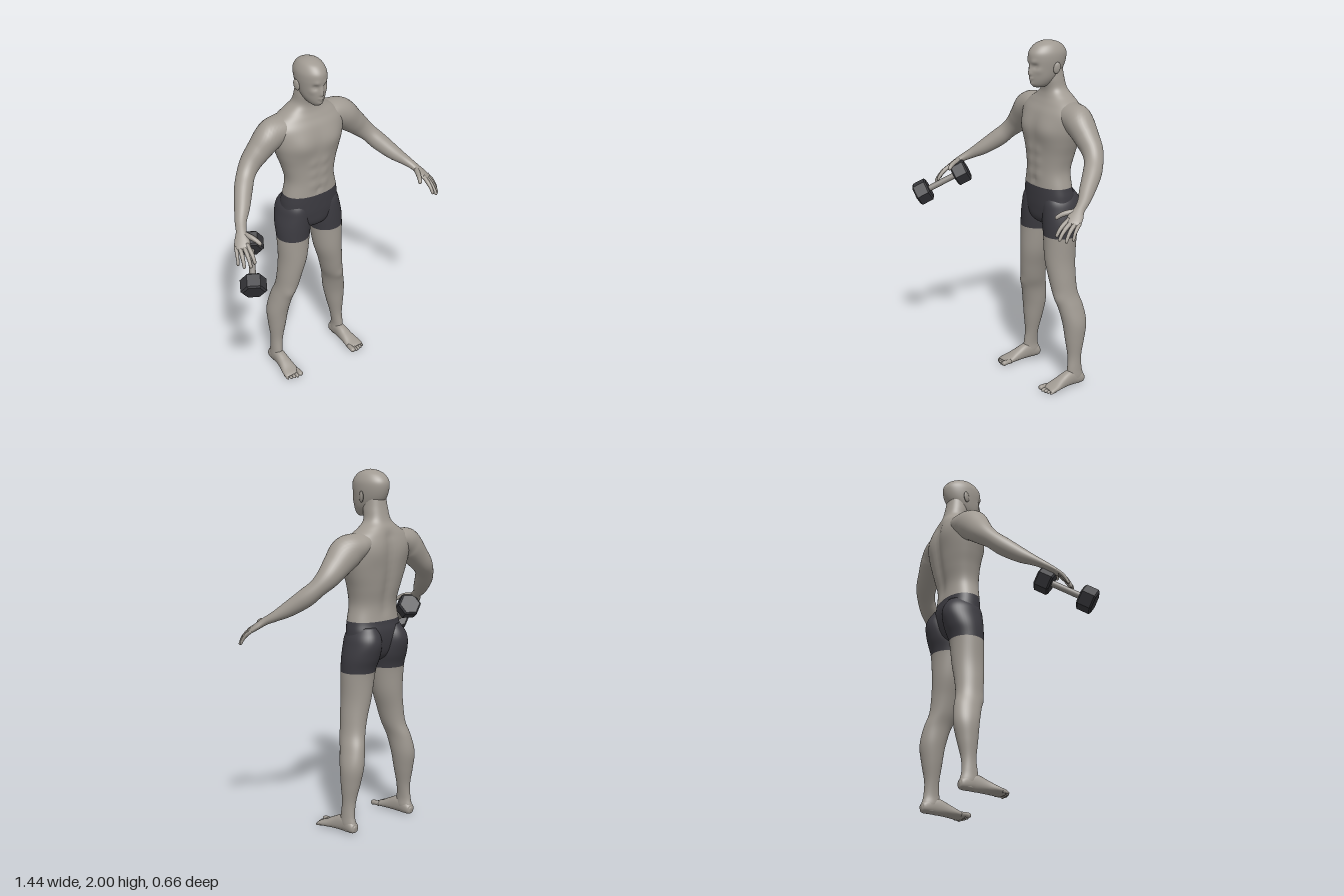
import * as THREE from 'three';

const mat = (name, color) => Object.assign(new THREE.MeshStandardMaterial({ color }), { name });
const skin = mat('skin', 0xa09a92);
const cloth = mat('shorts cloth', 0x3c3b41);
const iron = mat('dumbbell iron', 0x38383c);
const steel = mat('dumbbell handle', 0x8f8b86);

// Smooth tube through rows of [x, y, z, halfWidth, halfDepth].
// ref: rings stand square to the path, depth axis near ref; without it rings stay horizontal.
// bumps: [x, y, z, radius, height], mirrored in x. isCloth(y) picks the shorts faces.
function loft(name, rows, { ref, side = 1, sub = 6, n = 32, power = 2, bumps = [], isCloth = () => false } = {}) {
  const path = new THREE.CatmullRomCurve3(rows.map(r => new THREE.Vector3(r[0], r[1], r[2])), false, 'catmullrom');
  const size = new THREE.CatmullRomCurve3(rows.map(r => new THREE.Vector3(r[3], r[4], 0)), false, 'catmullrom');
  const steps = (rows.length - 1) * sub;
  const pos = [], faces = [[], []];
  const sp = v => Math.sign(v) * Math.abs(v) ** (2 / power);
  const u = new THREE.Vector3(1, 0, 0), w = new THREE.Vector3(0, 0, 1);
  const ring = (c, a, b) => {
    for (let j = 0; j < n; j++) {
      const th = j / n * Math.PI * 2;
      const dir = u.clone().multiplyScalar(a * sp(Math.sin(th))).addScaledVector(w, b * sp(Math.cos(th)));
      const p = c.clone().add(dir);
      let push = 0;
      for (const [x, y, z, r, h] of bumps) {
        const d2 = (Math.abs(p.x) - x) ** 2 + (p.y - y) ** 2 + (p.z - z) ** 2;
        push += h * Math.exp(-d2 / (r * r));
      }
      p.addScaledVector(dir.normalize(), push);
      pos.push(p.x * side, p.y, p.z);
    }
  };
  for (let i = -1; i <= steps + 1; i++) {
    const k = Math.min(Math.max(i, 0), steps) / steps;
    const c = path.getPoint(k), s = size.getPoint(k);
    if (ref) {
      const t = path.getTangent(k);
      u.crossVectors(t, ref).normalize();
      w.crossVectors(u, t).normalize();
    }
    // the first and last rings close the ends
    const f = i < 0 || i > steps ? 0.01 : 1;
    ring(c, Math.max(s.x, 0.001) * f, Math.max(s.y, 0.001) * f);
  }
  for (let i = 0; i < steps + 2; i++) for (let j = 0; j < n; j++) {
    const a = i * n + j, b = i * n + (j + 1) % n, c = b + n, d = a + n;
    const y = (pos[a * 3 + 1] + pos[c * 3 + 1]) / 2;
    faces[isCloth(y) ? 1 : 0].push(...(side > 0 ? [a, b, c, a, c, d] : [a, c, b, a, d, c]));
  }
  const geo = new THREE.BufferGeometry();
  geo.setAttribute('position', new THREE.Float32BufferAttribute(pos, 3));
  geo.setIndex([...faces[0], ...faces[1]]);
  geo.addGroup(0, faces[0].length, 0);
  geo.addGroup(faces[0].length, faces[1].length, 1);
  geo.computeVertexNormals();
  const mesh = new THREE.Mesh(geo, [skin, cloth]);
  mesh.name = name;
  return mesh;
}

// Row from height, half width and the front and back z
const slab = (x, y, a, front, back) => [x, y, (front + back) / 2, a, (front - back) / 2];

function makeTorso() {
  const rows = [
    slab(0, 0.94, 0.03, -0.15, -0.22), slab(0, 0.98, 0.11, -0.1, -0.27), slab(0, 1.05, 0.175, -0.088, -0.295),
    slab(0, 1.12, 0.178, -0.085, -0.302), slab(0, 1.18, 0.167, -0.085, -0.29), slab(0, 1.27, 0.151, -0.087, -0.287),
    slab(0, 1.36, 0.17, -0.086, -0.305), slab(0, 1.44, 0.198, -0.084, -0.318), slab(0, 1.52, 0.223, -0.085, -0.325),
    slab(0, 1.6, 0.23, -0.103, -0.325), slab(0, 1.65, 0.19, -0.128, -0.318), slab(0, 1.69, 0.125, -0.146, -0.305),
    slab(0, 1.73, 0.078, -0.152, -0.285), slab(0, 1.79, 0.067, -0.14, -0.27), slab(0, 1.85, 0.06, -0.14, -0.26),
  ];
  const bumps = [
    [0.09, 1.51, -0.09, 0.075, 0.018], [0.1, 1.57, -0.32, 0.07, 0.012], // chest, shoulder blades
    [0, 1.215, -0.085, 0.013, -0.01], // navel
  ];
  for (const y of [1.25, 1.32, 1.39]) bumps.push([0.035, y, -0.085, 0.028, 0.006]); // abdomen
  for (let y = 1.24; y < 1.65; y += 0.05) bumps.push([0, y, -0.31, 0.035, -0.012]); // spine
  return loft('torso', rows, { n: 64, power: 2.25, bumps, isCloth: y => y < 1.18 });
}

function makeHead() {
  const head = new THREE.Group();
  head.name = 'head';
  const rows = [
    slab(0, 1.745, 0.025, -0.085, -0.16), slab(0, 1.765, 0.045, -0.07, -0.2), slab(0, 1.8, 0.063, -0.063, -0.235),
    slab(0, 1.85, 0.075, -0.06, -0.27), slab(0, 1.9, 0.081, -0.055, -0.287), slab(0, 1.94, 0.078, -0.06, -0.285),
    slab(0, 1.975, 0.06, -0.09, -0.255), slab(0, 1.993, 0.034, -0.13, -0.213), slab(0, 2, 0.003, -0.165, -0.175),
  ];
  const bumps = [
    [0, 1.822, -0.055, 0.013, 0.019], [0, 1.84, -0.057, 0.012, 0.011], [0, 1.857, -0.057, 0.012, 0.006], // nose
    [0.032, 1.866, -0.07, 0.017, -0.012], [0.032, 1.864, -0.075, 0.008, 0.005], // eye sockets, eyes
    [0.028, 1.888, -0.063, 0.016, 0.005], [0.048, 1.84, -0.085, 0.02, 0.004], // brows, cheekbones
    [0, 1.798, -0.063, 0.009, 0.007], [0.012, 1.797, -0.063, 0.008, 0.004], // upper lip
    [0, 1.786, -0.065, 0.008, 0.007], [0, 1.765, -0.068, 0.015, 0.006], // lower lip, chin
  ];
  head.add(loft('skull', rows, { n: 72, sub: 9, bumps }));
  for (const side of [-1, 1]) {
    const ear = new THREE.Mesh(new THREE.SphereGeometry(1, 16, 12), skin);
    ear.name = 'ear';
    ear.scale.set(0.009, 0.033, 0.02);
    ear.position.set(side * 0.083, 1.855, -0.18);
    ear.rotation.set(-0.2, side * -0.3, side * -0.12);
    head.add(ear);
  }
  return head;
}

function makeArm(side) {
  const arm = new THREE.Group();
  arm.name = side > 0 ? 'leftArm' : 'rightArm';
  const ref = new THREE.Vector3(0.83, -0.2, -0.52); // from thumb to little finger
  arm.add(loft('armAndPalm', [
    [0.06, 1.63, -0.228, 0.045, 0.07], [0.15, 1.605, -0.228, 0.068, 0.085], [0.235, 1.573, -0.222, 0.09, 0.083],
    [0.31, 1.507, -0.22, 0.076, 0.07], [0.37, 1.45, -0.215, 0.062, 0.06], [0.42, 1.398, -0.19, 0.05, 0.052],
    [0.465, 1.345, -0.145, 0.051, 0.051], [0.52, 1.285, -0.075, 0.042, 0.043], [0.565, 1.245, -0.02, 0.029, 0.033],
    [0.595, 1.215, 0.03, 0.021, 0.029], [0.615, 1.188, 0.067, 0.018, 0.041], [0.633, 1.163, 0.098, 0.014, 0.043],
    [0.638, 1.155, 0.107, 0.006, 0.036],
  ], { ref, side }));
  // knuckle, then tip
  const fingers = [
    [0.607, 1.169, 0.113, 0.612, 1.1, 0.19], [0.626, 1.163, 0.104, 0.638, 1.085, 0.19],
    [0.645, 1.157, 0.092, 0.665, 1.077, 0.165], [0.662, 1.153, 0.079, 0.685, 1.085, 0.133],
    [0.585, 1.205, 0.06, 0.545, 1.175, 0.15],
  ];
  fingers.forEach(([x, y, z, X, Y, Z], i) => {
    const r = i === 4 ? 0.014 : i === 3 ? 0.0095 : 0.0115;
    const at = (k, lift, s) => [x + (X - x) * k, y + (Y - y) * k + lift, z + (Z - z) * k + lift * 0.5, r * s, r * s];
    arm.add(loft(i === 4 ? 'thumb' : 'finger',
      [at(-0.15, 0, 1), at(0.3, 0.008, 1.05), at(0.65, 0.008, 0.9), at(0.93, 0.001, 0.75), at(1, 0, 0.3)],
      { ref, side, n: 12, sub: 4 }));
  });
  return arm;
}

function makeLeg(side) {
  const leg = new THREE.Group();
  leg.name = side > 0 ? 'leftLeg' : 'rightLeg';
  const rows = [
    slab(0.228, 0.01, 0.026, -0.19, -0.275), slab(0.228, 0.05, 0.032, -0.172, -0.28), slab(0.228, 0.1, 0.029, -0.178, -0.268),
    slab(0.221, 0.18, 0.036, -0.183, -0.267), slab(0.214, 0.28, 0.052, -0.172, -0.288), slab(0.206, 0.38, 0.063, -0.16, -0.305),
    slab(0.187, 0.48, 0.06, -0.138, -0.294), slab(0.163, 0.56, 0.063, -0.118, -0.272), slab(0.145, 0.65, 0.071, -0.104, -0.268),
    slab(0.124, 0.76, 0.084, -0.093, -0.274), slab(0.115, 0.9, 0.098, -0.093, -0.285), slab(0.108, 0.98, 0.104, -0.091, -0.312),
    slab(0.104, 1.05, 0.094, -0.092, -0.33), slab(0.1, 1.1, 0.084, -0.098, -0.322), slab(0.092, 1.15, 0.06, -0.12, -0.29),
  ];
  const bumps = [[0.185, 0.53, -0.125, 0.035, 0.007], [0.22, 0.095, -0.2, 0.05, 0.003]]; // kneecap, ankle
  leg.add(loft('legAndShorts', rows, { side, n: 40, bumps, isCloth: y => y > 0.9 }));

  const ref = new THREE.Vector3(0, 1, 0);
  leg.add(loft('foot', [
    [0.228, 0.03, -0.285, 0.012, 0.014], [0.228, 0.032, -0.268, 0.03, 0.03], [0.228, 0.048, -0.2, 0.033, 0.047],
    [0.23, 0.036, -0.13, 0.039, 0.035], [0.234, 0.023, -0.075, 0.048, 0.022], [0.236, 0.016, -0.038, 0.05, 0.015],
    [0.236, 0.013, -0.025, 0.044, 0.009],
  ], { ref, side, n: 28, power: 2.3 }));
  for (let i = 0; i < 5; i++) {
    const r = i ? 0.0105 - i * 0.0006 : 0.0155;
    const x = i ? 0.2 + i * 0.0195 : 0.197, tip = 0.004 - i * i * 0.0013;
    leg.add(loft('toe', [
      [x, r + 0.003, -0.055, r * 0.9, r * 0.9], [x, r + 0.004, tip - 0.025, r, r * 0.9],
      [x, r, tip - 0.008, r, r * 0.95], [x, r * 0.8, tip, r * 0.4, r * 0.4],
    ], { ref, side, n: 12, sub: 4 }));
  }
  return leg;
}

function makeDumbbell() {
  const dumbbell = new THREE.Group();
  dumbbell.name = 'dumbbell';
  const a = new THREE.Vector3(-0.528, 1.143, 0.06), b = new THREE.Vector3(-0.64, 1.025, 0.257);
  const axis = b.clone().sub(a), length = axis.length();
  const handle = new THREE.Mesh(new THREE.CylinderGeometry(0.018, 0.018, length, 20), steel);
  handle.name = 'handle';
  dumbbell.add(handle);
  // hexagonal weights with a small bevel
  const outline = [[0, -0.044], [0.06, -0.044], [0.071, -0.035], [0.071, 0.035], [0.06, 0.044], [0, 0.044]];
  for (const end of [-1, 1]) {
    const profile = outline.map(([x, y]) => new THREE.Vector2(x, y));
    const geo = new THREE.LatheGeometry(profile, 6).toNonIndexed();
    geo.computeVertexNormals();
    const weight = new THREE.Mesh(geo, iron);
    weight.name = 'weight';
    weight.position.y = end * length / 2;
    dumbbell.add(weight);
  }
  dumbbell.position.copy(a).add(b).multiplyScalar(0.5);
  dumbbell.quaternion.setFromUnitVectors(new THREE.Vector3(0, 1, 0), axis.normalize());
  return dumbbell;
}

export function createModel() {
  const model = new THREE.Group();
  model.name = 'manWithDumbbell';
  const body = new THREE.Group();
  body.name = 'body';
  body.position.x = 0.03;
  body.add(makeTorso(), makeHead());
  for (const side of [-1, 1]) body.add(makeArm(side), makeLeg(side));
  model.add(body, makeDumbbell());
  return model;
}
